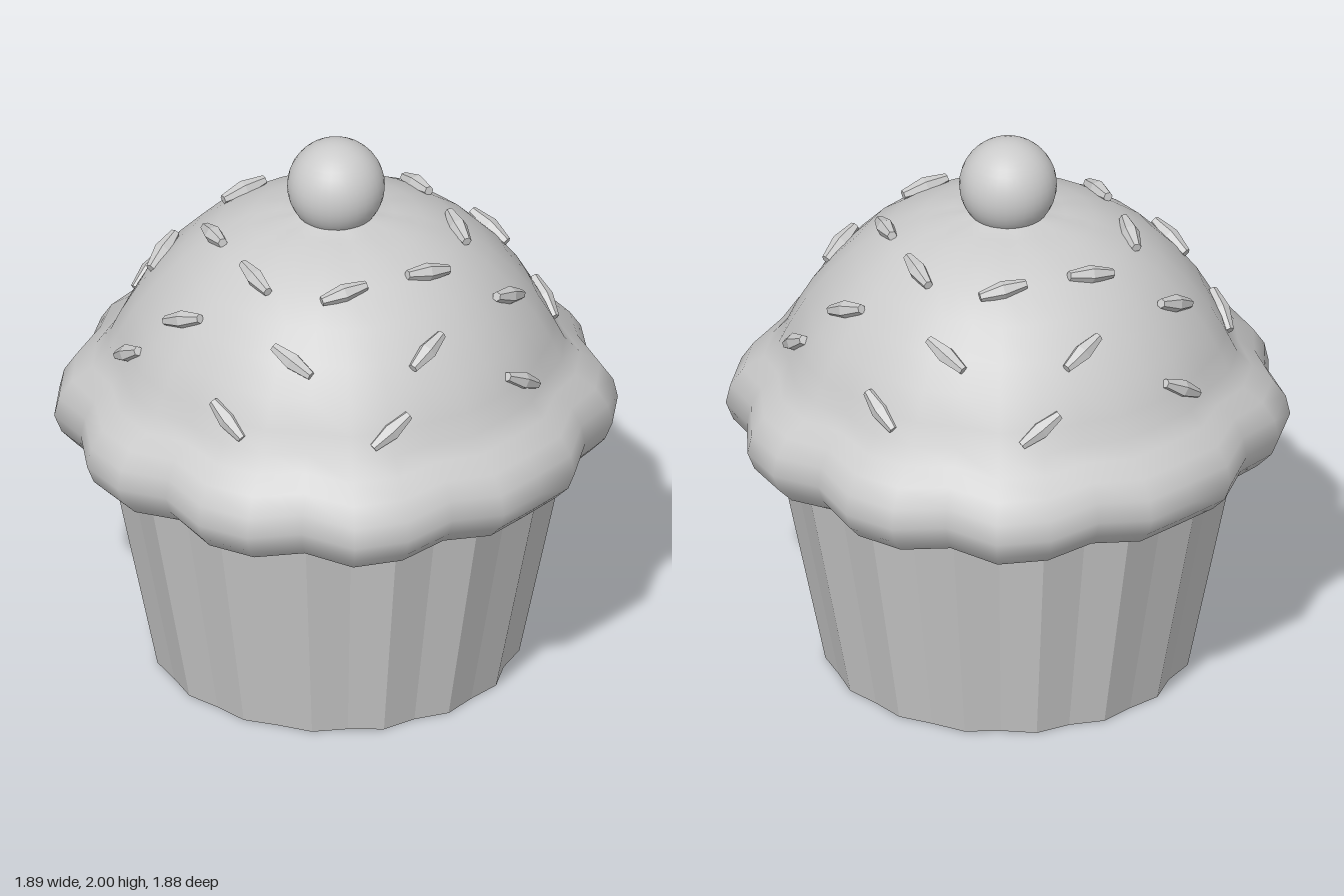
import * as THREE from 'three';
import { mergeVertices } from 'three/addons/utils/BufferGeometryUtils.js';

const SEGMENTS = 32;
const DEG = Math.PI / 180;

// Quarter-turn tables of radius factors, mirrored round the whole ring
const LOBES = [0.95, 1.012, 1.02, 0.971, 1.038, 1.024, 0.967, 1.012, 1];
const PLEATS = [0.972, 1, 0.975, 1, 0.965, 1, 0.957, 1, 0.972];

function ringFactor(table, x, z) {
  const step = Math.round(Math.atan2(Math.abs(x), Math.abs(z)) / (Math.PI * 2 / SEGMENTS));
  return table[step];
}

const material = (flat) => new THREE.MeshStandardMaterial({ color: 0xcccccc, flatShading: flat });

// Lathe whose vertices are pushed in and out round the ring
function wavyLathe(profile, table, weight, drop) {
  const points = profile.map(([r, y]) => new THREE.Vector2(r, y));
  let geometry = new THREE.LatheGeometry(points, SEGMENTS);
  geometry.deleteAttribute('uv');
  geometry.deleteAttribute('normal');
  const p = geometry.attributes.position;
  for (let i = 0; i < p.count; i++) {
    const x = p.getX(i), y = p.getY(i), z = p.getZ(i);
    const wave = (ringFactor(table, x, z) - 1) * weight(y);
    p.setXYZ(i, x * (1 + wave), y - wave * drop, z * (1 + wave));
  }
  geometry = mergeVertices(geometry, 1e-4);
  geometry.computeVertexNormals();
  return geometry;
}

function add(parent, name, geometry, flat) {
  const mesh = new THREE.Mesh(geometry, material(flat));
  mesh.name = name;
  parent.add(mesh);
  return mesh;
}

export function createModel() {
  const cake = new THREE.Group();
  cake.name = 'cupcake';

  // Pleated paper cup
  const cup = [[0, 0], [0.642, 0], [0.811, 0.84], [0, 0.84]];
  add(cake, 'paperCup', wavyLathe(cup, PLEATS, () => 1, 0), true);

  // Frosting: lobed rim that smooths out into the dome
  const frosting = [
    [0.74, 0.84], [0.81, 0.808], [0.87, 0.832], [0.92, 0.885], [0.945, 0.95],
    [0.93, 1.02], [0.89, 1.085], [0.825, 1.135], [0.78, 1.19], [0.75, 1.265],
    [0.695, 1.365], [0.62, 1.465], [0.53, 1.56], [0.42, 1.64], [0.3, 1.69],
    [0.2, 1.715], [0.14, 1.725], [0.115, 1.745], [0, 1.76],
  ];
  const rimWeight = (y) => (y < 1.05 ? 1 : Math.max(0.25, 1 - (y - 1.05) * 3.2));
  add(cake, 'frosting', wavyLathe(frosting, LOBES, rimWeight, 0.3), false);

  // Cherry
  const cherry = add(cake, 'cherry', new THREE.SphereGeometry(0.17, 32, 20), false);
  cherry.position.y = 1.83;

  // Sprinkles: three rings of eight, tilted alternately
  const sprinkle = new THREE.LatheGeometry(
    [[0, -0.085], [0.017, -0.085], [0.033, 0], [0.017, 0.085], [0, 0.085]]
      .map(([r, y]) => new THREE.Vector2(r, y)), 6);
  const rings = [
    { r: 0.425, y: 1.645, start: 0, slope: 61, tilt: 20 },
    { r: 0.62, y: 1.475, start: 27, slope: 38, tilt: 30 },
    { r: 0.748, y: 1.265, start: 11, slope: 23, tilt: 35 },
  ];
  const sprinkles = new THREE.Group();
  sprinkles.name = 'sprinkles';
  cake.add(sprinkles);
  for (const { r, y, start, slope, tilt } of rings) {
    for (let k = 0; k < 8; k++) {
      const angle = (start + k * 45) * DEG;
      const mesh = add(sprinkles, 'sprinkle', sprinkle, true);
      mesh.position.set(r * Math.sin(angle), y, r * Math.cos(angle));
      // Turn to the azimuth, lean back onto the dome, then spin on its surface
      mesh.rotation.set(-slope * DEG, angle, (90 + (k % 2 ? tilt : -tilt)) * DEG, 'YXZ');
    }
  }
  return cake;
}
